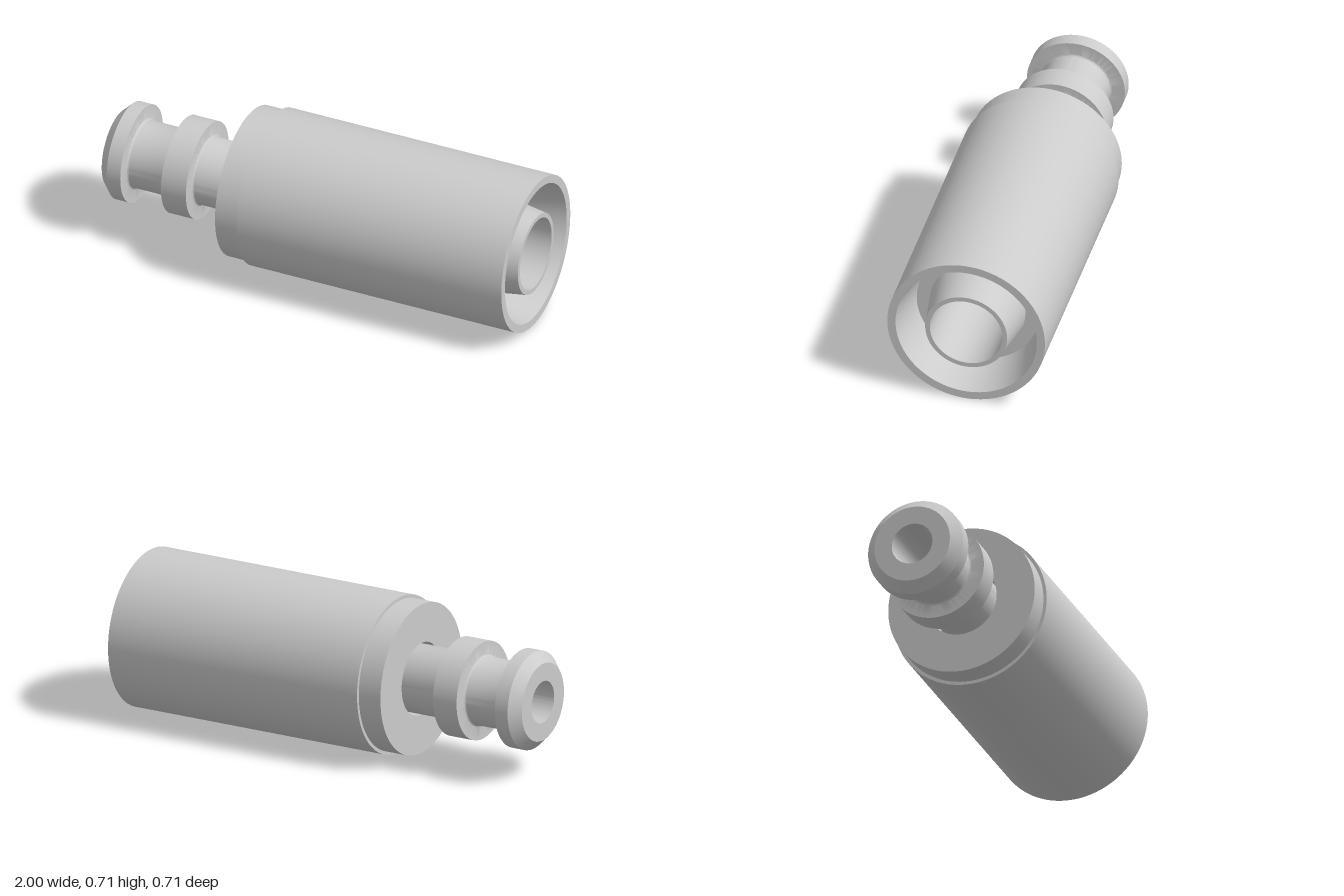
import * as THREE from 'three';
import { toCreasedNormals } from 'three/addons/utils/BufferGeometryUtils.js';

const AXIS_HEIGHT = 0.354;

// Closed ring profile of [x, radius] points, turned about the long axis.
function turned(name, profile, material) {
  const points = [...profile, profile[0]].map(([x, r]) => new THREE.Vector2(r, x));
  const geometry = toCreasedNormals(new THREE.LatheGeometry(points, 96), 0.5);
  geometry.rotateZ(-Math.PI / 2);
  const mesh = new THREE.Mesh(geometry, material);
  mesh.name = name;
  mesh.position.y = AXIS_HEIGHT;
  return mesh;
}

// Concave fillet between the neck and a shoulder face at x;
// side is +1 when the neck lies on the +x side of the shoulder.
function fillet(x, side, neck, size) {
  const arc = [];
  for (let i = 0; i <= 5; i++) {
    const a = (i / 5) * Math.PI / 2;
    arc.push([x + side * size * (1 - Math.cos(a)), neck + size * (1 - Math.sin(a))]);
  }
  return side > 0 ? arc : arc.reverse();
}

export function createModel() {
  const model = new THREE.Group();
  const material = new THREE.MeshStandardMaterial({ color: 0xcccccc });

  // Sleeve: stepped collar, outer barrel, tapered socket around a conical nozzle
  model.add(turned('sleeve', [
    [-0.38, 0.163], [-0.38, 0.339], [-0.27, 0.339], [-0.27, 0.354],
    [1, 0.354], [1, 0.317],
    [0.8, 0.274], [0.8, 0.214],
    [1, 0.184], [1, 0.163],
  ], material));

  // Hollow stem: chamfered head, neck, flange and the tail inside the sleeve
  const neck = 0.152, size = 0.011, flange = 0.22, bore = 0.094;
  model.add(turned('stem', [
    [-1, bore], [-1, 0.175], [-0.955, flange], [-0.89, flange],
    ...fillet(-0.89, 1, neck, size),
    ...fillet(-0.695, -1, neck, size),
    [-0.695, flange], [-0.575, flange],
    ...fillet(-0.575, 1, neck, size),
    [-0.003, neck], [0, 0.149], [0, bore],
  ], material));

  return model;
}
